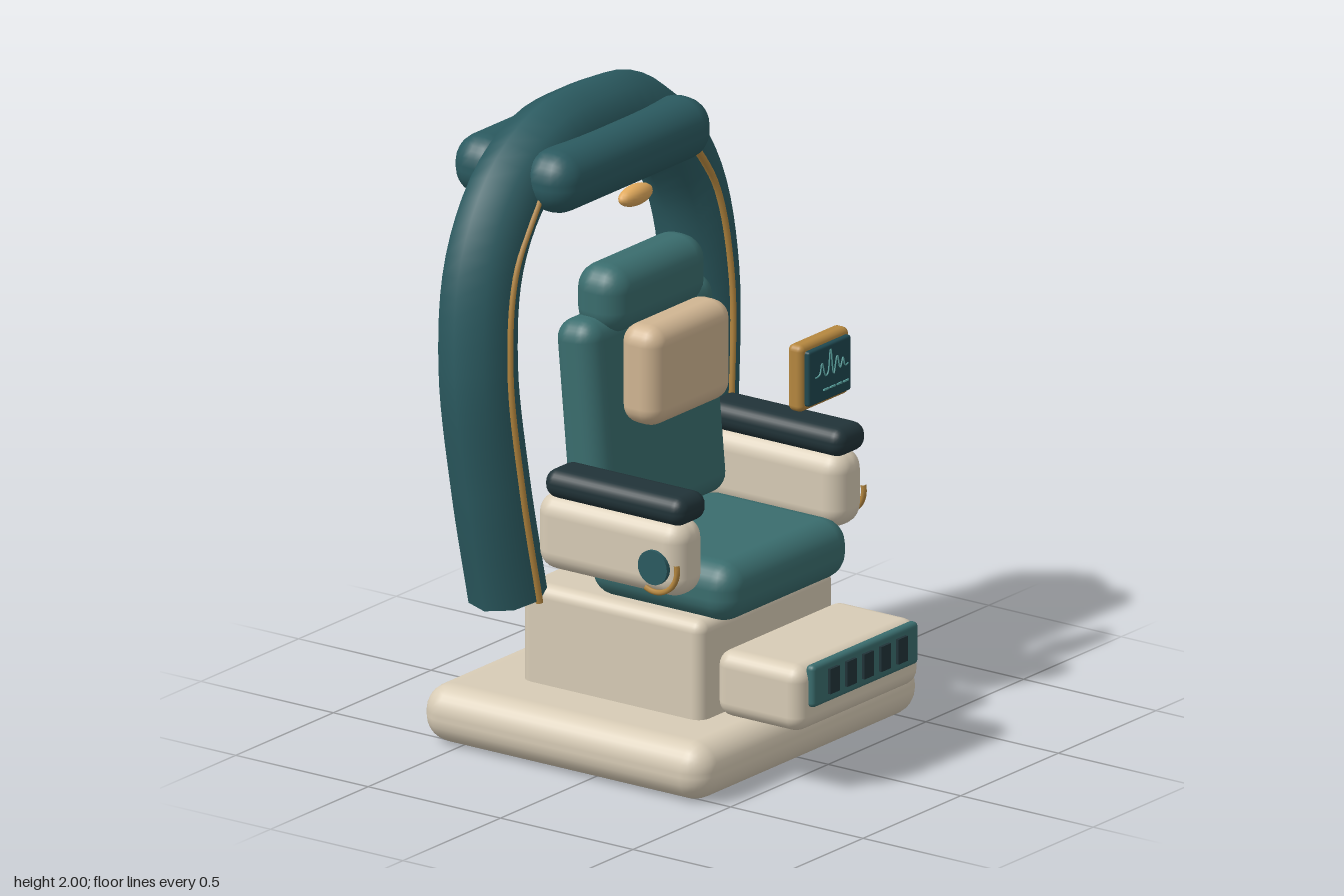
import * as THREE from 'three';
import { RoundedBoxGeometry } from 'three/addons/geometries/RoundedBoxGeometry.js';

const mat = (color) => new THREE.MeshStandardMaterial({ color });
const CREAM = mat(0xd8ccb6), TEAL = mat(0x3a6d6e), DEEP = mat(0x2b5a60), DARK = mat(0x213338);
const GOLD = mat(0xb5873f), TAN = mat(0xd0b592), SCREEN = mat(0x1f4850), TRACE = mat(0x5aa3a0);
const LAMP = mat(0xe0a95c);
const V = (x, y, z) => new THREE.Vector3(x, y, z);

export function createModel() {
  const model = new THREE.Group();
  model.name = 'loungeChair';

  const add = (name, geometry, material, parent = model) => {
    const mesh = new THREE.Mesh(geometry, material);
    mesh.name = name;
    parent.add(mesh);
    return mesh;
  };
  // Rounded box given by its limits on each axis
  const box = (name, [x0, x1], [y0, y1], [z0, z1], r, material, parent) => {
    const m = add(name, new RoundedBoxGeometry(x1 - x0, y1 - y0, z1 - z0, 3, r), material, parent);
    m.position.set((x0 + x1) / 2, (y0 + y1) / 2, (z0 + z1) / 2);
    return m;
  };

  // Base and pedestal
  box('base', [-0.575, 0.575], [0, 0.185], [-0.635, 0.445], 0.085, CREAM);
  box('pedestal', [-0.345, 0.345], [0.14, 0.5], [-0.41, 0.275], 0.04, CREAM);

  // Footrest with vented front panel
  box('footrest', [-0.315, 0.315], [0.2, 0.412], [0.297, 0.625], 0.05, CREAM);
  box('footrestPanel', [-0.27, 0.27], [0.28, 0.415], [0.61, 0.645], 0.015, TEAL);
  for (let i = -2; i <= 2; i++) {
    const slot = add('footrestVent', new THREE.BoxGeometry(0.048, 0.08, 0.014), DARK);
    slot.position.set(i * 0.087, 0.35, 0.648);
  }

  // Seat, reclined back, headrest and pillow
  box('seat', [-0.322, 0.322], [0.49, 0.68], [-0.19, 0.365], 0.08, TEAL);
  const back = box('backrest', [-0.33, 0.33], [0.665, 1.36], [-0.285, -0.125], 0.065, TEAL);
  back.rotation.x = -0.09;
  box('headrest', [-0.25, 0.25], [1.295, 1.515], [-0.3, -0.115], 0.08, TEAL);
  box('headPillow', [-0.208, 0.208], [1.02, 1.34], [-0.15, 0.0], 0.06, TAN);

  // Armrests, mirrored
  for (const s of [1, -1]) {
    const arm = new THREE.Group();
    arm.name = s > 0 ? 'leftArmrest' : 'rightArmrest';
    model.add(arm);
    const span = s > 0 ? [0.333, 0.483] : [-0.483, -0.333];
    box('armBody', span, [0.605, 0.85], [-0.265, 0.295], 0.065, CREAM, arm);
    box('armPad', span, [0.84, 0.932], [-0.23, 0.3], 0.042, DARK, arm);
    const knob = add('armKnob', new THREE.CylinderGeometry(0.055, 0.055, 0.02, 24), DEEP, arm);
    knob.rotation.z = Math.PI / 2;
    knob.position.set(s * 0.484, 0.705, 0.2);
    // Partial trim ring around the lower front of the knob
    const arc = [];
    for (let i = 0; i <= 10; i++) {
      const a = Math.PI * (0.93 + 0.72 * i / 10);
      arc.push(V(s * 0.478, 0.705 + 0.082 * Math.sin(a), 0.2 - 0.082 * Math.cos(a)));
    }
    add('knobTrim', new THREE.TubeGeometry(new THREE.CatmullRomCurve3(arc), 20, 0.009, 6), GOLD, arm);
  }

  // Overhead arch: padded tube leaning slightly backwards
  const half = [[0.475, 0.5], [0.535, 0.87], [0.567, 1.25], [0.515, 1.55], [0.375, 1.76], [0.2, 1.862]];
  const depth = (y) => -0.36 - 0.07 * Math.min(1, (y - 0.5) / 1.2);
  const left = half.map(([x, y]) => V(x, y, depth(y)));
  const right = left.map((p) => V(-p.x, p.y, p.z)).reverse();
  const path = new THREE.CatmullRomCurve3([...left, V(0, 1.88, -0.43), ...right]);
  add('arch', new THREE.TubeGeometry(path, 64, 0.122, 8), DEEP);
  for (const t of [0, 1]) {
    const cap = add('archEnd', new THREE.CircleGeometry(0.122, 8), DEEP);
    const out = path.getTangentAt(t).multiplyScalar(t ? 1 : -1);
    cap.position.copy(path.getPointAt(t));
    cap.lookAt(cap.position.clone().add(out));
  }

  // Gold piping along the front of each arch leg
  for (const s of [1, -1]) {
    const line = left.slice(0, 5).map((p) => V(s * p.x, p.y, p.z + 0.12));
    add('archPiping', new THREE.TubeGeometry(new THREE.CatmullRomCurve3(line), 40, 0.012, 6), GOLD);
  }

  // Canopy cushions before and behind the arch top, and a lamp
  for (const [name, z] of [['frontCanopyCushion', -0.297], ['rearCanopyCushion', -0.558]]) {
    box(name, [-0.4, 0.4], [1.7, 1.898], [z - 0.099, z + 0.099], 0.09, DEEP);
  }
  const lamp = add('lamp', new THREE.SphereGeometry(0.033, 20, 12), LAMP);
  lamp.scale.x = 2.35;
  lamp.position.set(0, 1.682, -0.228);

  // Monitor on a slanted strut
  const a = V(0.455, 0.508, -0.15), b = V(0.5, 0.87, 0.085);
  const strut = add('monitorStrut', new THREE.CylinderGeometry(0.024, 0.019, a.distanceTo(b), 10), GOLD);
  strut.position.copy(a).add(b).multiplyScalar(0.5);
  strut.quaternion.setFromUnitVectors(V(0, 1, 0), b.clone().sub(a).normalize());

  const monitor = new THREE.Group();
  monitor.name = 'monitor';
  monitor.position.set(0.487, 1.058, 0);
  model.add(monitor);
  box('monitorFrame', [-0.126, 0.126], [-0.107, 0.107], [0.075, 0.132], 0.02, GOLD, monitor);
  box('monitorScreen', [-0.108, 0.108], [-0.088, 0.088], [0.12, 0.149], 0.008, SCREEN, monitor);
  const wave = [[-0.085, 0], [-0.06, 0.005], [-0.048, 0.04], [-0.03, -0.005], [-0.018, 0], [-0.004, 0.075],
    [0.012, -0.01], [0.03, 0.045], [0.045, 0], [0.06, 0.03], [0.07, 0.002], [0.085, 0.005]];
  const trace = new THREE.CatmullRomCurve3(wave.map(([x, y]) => V(x, y, 0.153)));
  add('screenTrace', new THREE.TubeGeometry(trace, 72, 0.0025, 5), TRACE, monitor);
  for (let i = 0; i < 4; i++) {
    const dash = add('screenDash', new THREE.BoxGeometry(0.025, 0.005, 0.006), TRACE, monitor);
    dash.position.set(-0.025 + i * 0.034, -0.05, 0.151);
  }

  return model;
}
